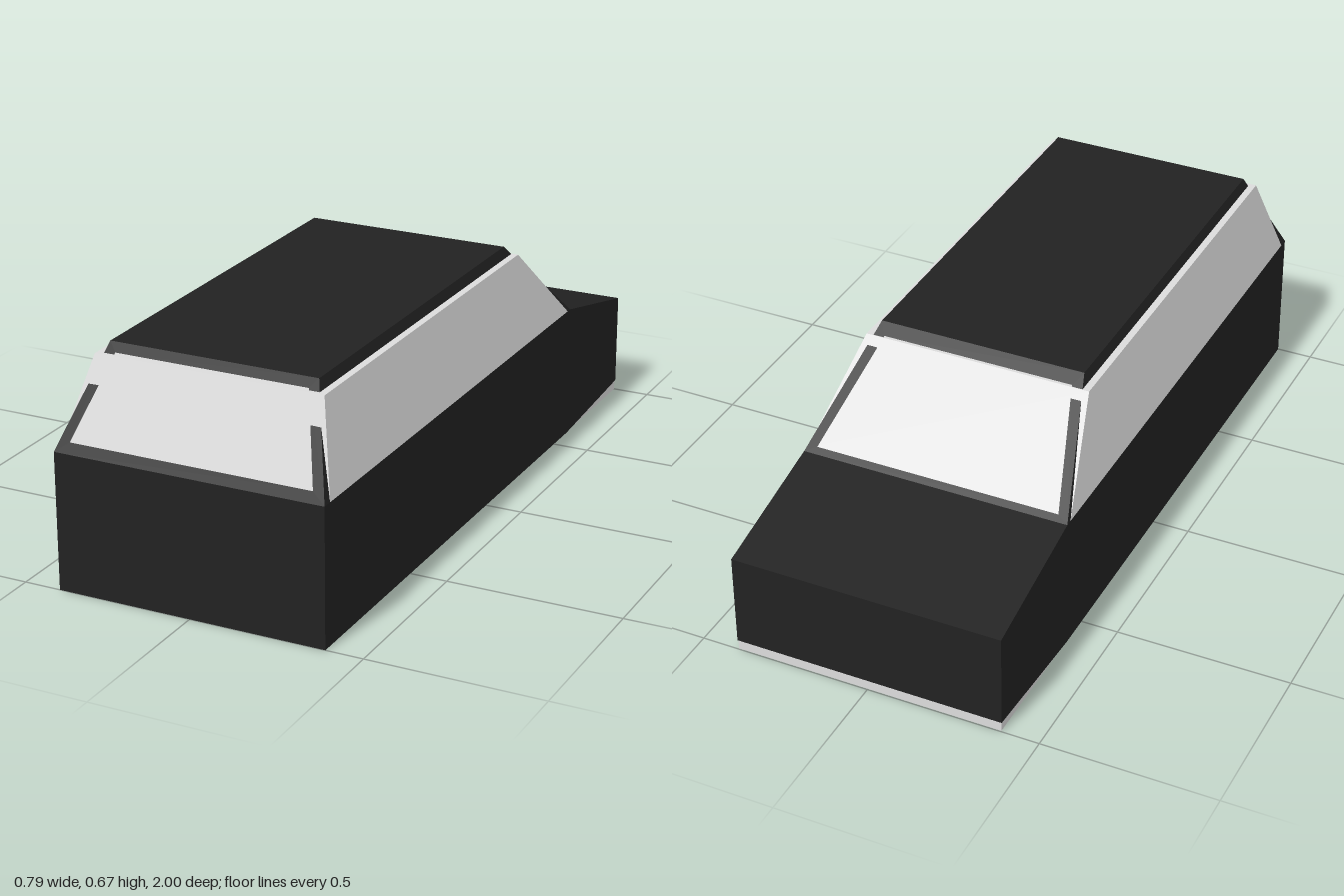
import * as THREE from 'three';

const paint = new THREE.MeshStandardMaterial({ color: 0x222222, side: THREE.DoubleSide });
paint.name = 'darkPaint';
const glass = new THREE.MeshStandardMaterial({ color: 0xdcdcdc });
glass.name = 'paleGlass';

// Flat-shaded geometry from four-cornered faces
function quads(faces) {
  const points = faces.flatMap(([a, b, c, d]) => [a, b, c, a, c, d]).flat();
  const geo = new THREE.BufferGeometry();
  geo.setAttribute('position', new THREE.Float32BufferAttribute(points, 3));
  geo.computeVertexNormals();
  return geo;
}

// Level rectangle of corners, from z = back to z = nose
const ring = (x, y, back, nose) => [[x, y, back], [x, y, nose], [-x, y, nose], [-x, y, back]];

// The face between two rings on side i
const side = (lo, hi, i) => [lo[i], lo[(i + 1) % 4], hi[(i + 1) % 4], hi[i]];

// A face with a four-cornered opening
const frame = (outer, inner) => [0, 1, 2, 3].map((k) => side(outer, inner, k));

// Side profile given as [z, y], extruded across the width
function profile(points, halfWidth) {
  const shape = new THREE.Shape(points.map(([z, y]) => new THREE.Vector2(z, y)));
  const geo = new THREE.ExtrudeGeometry(shape, { depth: halfWidth * 2, bevelEnabled: false });
  return geo.translate(0, 0, -halfWidth).rotateY(-Math.PI / 2);
}

export function createModel() {
  const group = new THREE.Group();
  const add = (name, geo, material) => {
    const mesh = new THREE.Mesh(geo, material);
    mesh.name = name;
    group.add(mesh);
  };

  // Lower body with sloping hood and raised chin
  add('lowerBody', profile(
    [[1, 0], [1, 0.395], [-0.6, 0.395], [-1, 0.303], [-1, 0.03], [-0.6, 0]], 0.393), paint);

  // Pale inner tub, seen under the chin
  add('innerTub', profile(
    [[0.997, 0.002], [0.997, 0.38], [-0.6, 0.38], [-0.998, 0.288], [-0.998, 0.001], [-0.6, 0.001]], 0.391), glass);

  // Cabin shell: roof, sides, and open frames for both screens
  const lo = ring(0.393, 0.395, 1, -0.6);
  const hi = ring(0.303, 0.667, 0.85, -0.3);
  const backZ = (y) => 1 - 0.551 * (y - 0.395);
  const noseZ = (y) => -0.6 + 1.103 * (y - 0.395);
  const opening = (s, zAt, yLo, xLo, yHi, xHi) => [
    [-s * xLo, yLo, zAt(yLo)], [s * xLo, yLo, zAt(yLo)],
    [s * xHi, yHi, zAt(yHi)], [-s * xHi, yHi, zAt(yHi)],
  ];
  add('cabinShell', quads([
    hi, side(lo, hi, 0), side(lo, hi, 2),
    ...frame(side(lo, hi, 3), opening(1, backZ, 0.423, 0.353, 0.642, 0.281)),
    ...frame(side(lo, hi, 1), opening(-1, noseZ, 0.409, 0.36, 0.64, 0.281)),
  ]), paint);

  // Windows: one tapered glass block
  const glassLo = ring(0.393, 0.395, 0.97, -0.58);
  const glassHi = ring(0.333, 0.637, 0.88, -0.335);
  add('windows', quads([glassHi, ...[0, 1, 2, 3].map((i) => side(glassLo, glassHi, i))]), glass);

  return group;
}
